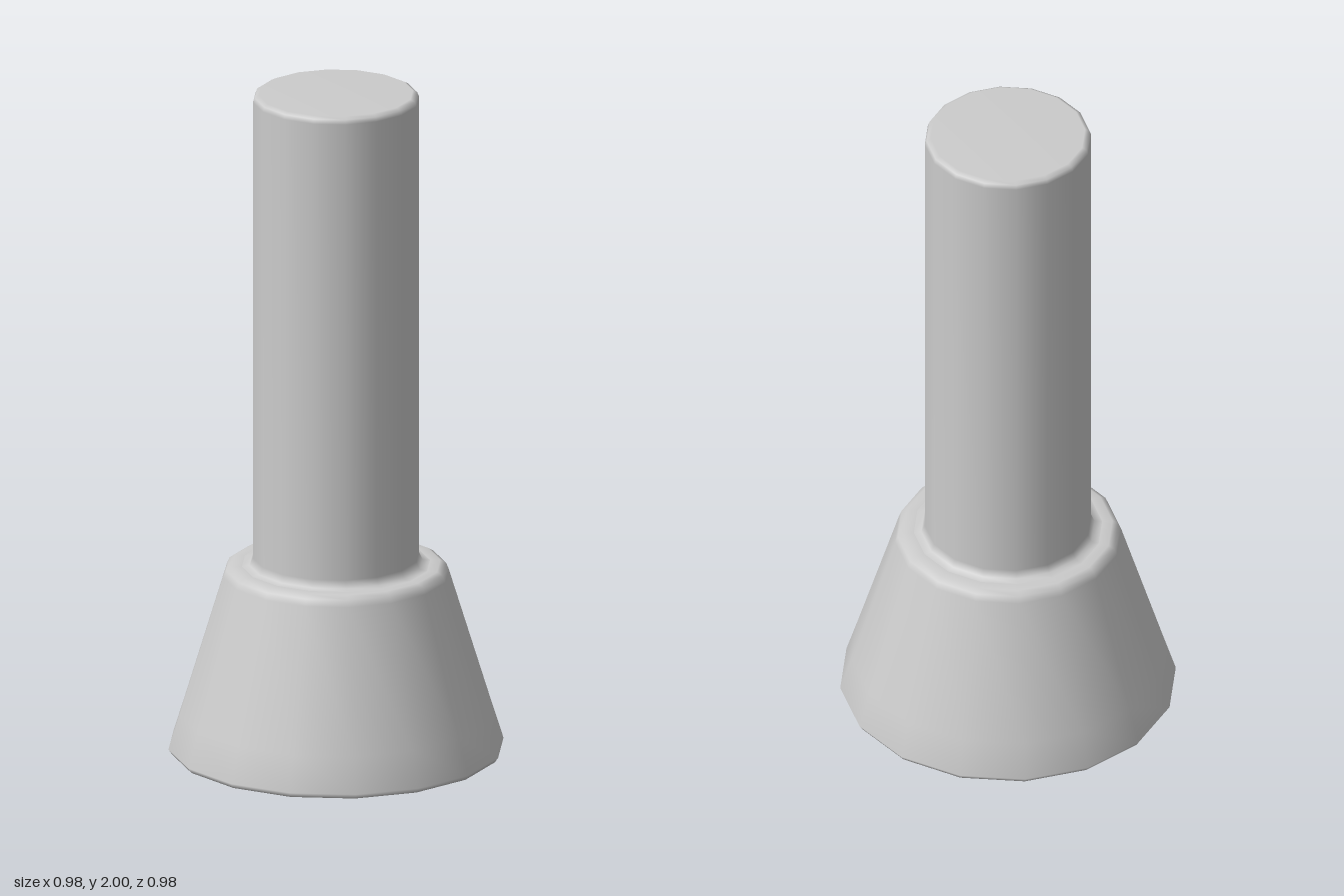
import * as THREE from 'three';

const SIDES = 16;

// Turned part from [radius, height] pairs, smooth shaded
function turned(name, profile) {
  const points = profile.map(([r, y]) => new THREE.Vector2(r, y));
  const mesh = new THREE.Mesh(
    new THREE.LatheGeometry(points, SIDES),
    new THREE.MeshStandardMaterial({ color: 0xcccccc })
  );
  mesh.name = name;
  return mesh;
}

export function createModel() {
  const group = new THREE.Group();
  group.name = 'flaredPeg';

  // Flared foot: hollow inside, rounded rim, sloping wall, flat shoulder
  group.add(turned('flaredFoot', [
    [0, 0.46], [0.22, 0.46], [0.245, 0.44],
    [0.37, 0.02], [0.385, 0],
    [0.48, 0], [0.49, 0.015],
    [0.457, 0.12], [0.33, 0.535], [0.322, 0.555], [0.305, 0.565], [0.275, 0.565],
  ]));

  // Round stem with a small fillet at the shoulder and a bevelled top
  group.add(turned('stem', [
    [0.275, 0.565], [0.253, 0.568], [0.243, 0.59],
    [0.243, 1.98], [0.238, 1.993], [0.225, 2], [0, 2],
  ]));

  return group;
}
